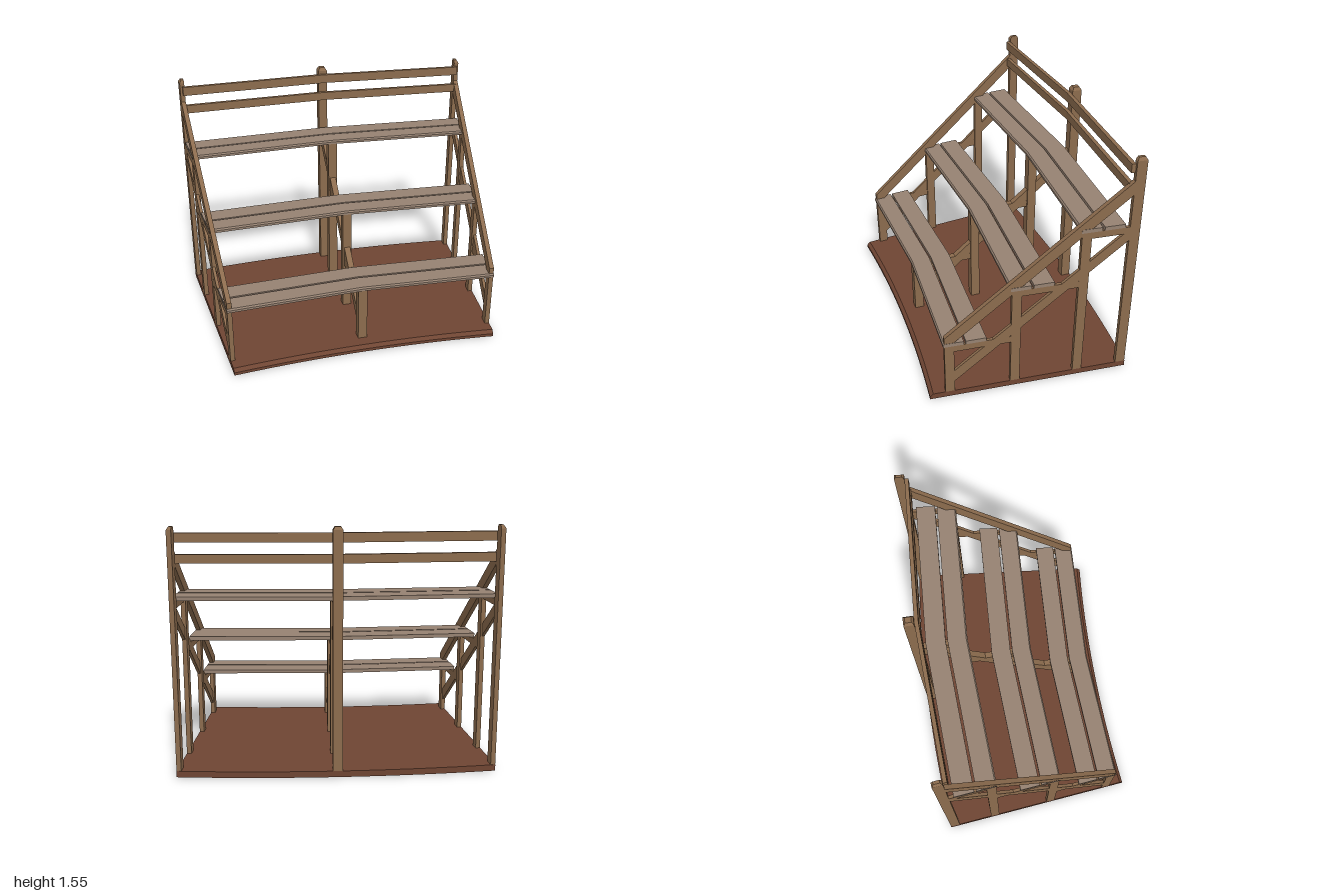
import * as THREE from 'three';

const CENTRE = 9.2;      // z of the point all frames radiate from
const HALF = 0.1014;     // half the angle of the sector

const mat = (name, color) => {
  const m = new THREE.MeshStandardMaterial({ color });
  m.name = name;
  return m;
};

// Sweeps a convex (z, y) section, counter-clockwise, around the centre through the given angles.
function sweep(section, angles) {
  const pos = [];
  const at = ([z, y], a) => [(CENTRE - z) * Math.sin(a), y, CENTRE - (CENTRE - z) * Math.cos(a)];
  const tri = (...pts) => pts.forEach(p => pos.push(...p));
  const n = section.length;
  for (let i = 0; i < angles.length - 1; i++) {
    const a = angles[i], b = angles[i + 1];
    section.forEach((p, k) => {
      const q = section[(k + 1) % n];
      tri(at(p, a), at(p, b), at(q, b));
      tri(at(p, a), at(q, b), at(q, a));
    });
  }
  const first = angles[0], last = angles[angles.length - 1];
  for (let k = 1; k < n - 1; k++) {
    tri(at(section[0], first), at(section[k], first), at(section[k + 1], first));
    tri(at(section[0], last), at(section[k + 1], last), at(section[k], last));
  }
  const g = new THREE.BufferGeometry();
  g.setAttribute('position', new THREE.Float32BufferAttribute(pos, 3));
  g.computeVertexNormals();
  return g;
}

const rect = (z0, z1, y0, y1) => [[z0, y0], [z1, y0], [z1, y1], [z0, y1]];

export function createModel() {
  const model = new THREE.Group();
  model.name = 'tieredBenches';
  const wood = mat('timber', 0x8c6c4e);
  const grey = mat('weatheredPlank', 0x968272);
  const red = mat('redFloor', 0x6f4533);

  const add = (parent, name, geometry, material) => {
    const mesh = new THREE.Mesh(geometry, material);
    mesh.name = name;
    parent.add(mesh);
    return mesh;
  };

  // Curved floor with a chamfered front edge
  const arc = Array.from({ length: 25 }, (_, i) => HALF * (i / 12 - 1));
  add(model, 'floor', sweep([[-0.67, 0], [0.615, 0], [0.615, 0.02], [0.593, 0.04], [-0.67, 0.04]], arc), red);

  // Three rows of two mitred planks
  const bend = k => [-HALF * k, 0, HALF * k];
  [[0.522, 0.405], [0.107, 0.75], [-0.308, 1.095]].forEach(([z, y]) => {
    const t = y + 0.025;
    add(model, 'frontPlank', sweep(
      [[z - 0.127, y], [z, y], [z, t - 0.01], [z - 0.008, t], [z - 0.127, t]], bend(1.002)), grey);
    add(model, 'rearPlank', sweep(rect(z - 0.267, z - 0.14, y, t), bend(1.002)), grey);
  });

  // Two back rails
  add(model, 'upperBackRail', sweep(rect(-0.605, -0.58, 1.45, 1.508), bend(0.985)), wood);
  add(model, 'lowerBackRail', sweep(rect(-0.605, -0.58, 1.325, 1.38), bend(0.985)), wood);

  // Support frames: side = -1, 0, 1; side frames are half as thick, flush with the floor edge
  for (const side of [-1, 0, 1]) {
    const pivot = new THREE.Group();
    pivot.name = side === 0 ? 'middleFrame' : side > 0 ? 'leftFrame' : 'rightFrame';
    pivot.position.z = CENTRE;
    pivot.rotation.y = -side * HALF;
    model.add(pivot);

    const shift = t => (side === 0 ? t / 2 : side > 0 ? 0 : t);
    const slab = (name, points, full) => {
      const t = side === 0 ? full : full / 2;
      const shape = new THREE.Shape(points.map(p => new THREE.Vector2(...p)));
      const g = new THREE.ExtrudeGeometry(shape, { depth: t, bevelEnabled: false });
      g.rotateY(-Math.PI / 2).translate(shift(t), 0, -CENTRE);
      add(pivot, name, g, wood);
    };

    // Posts
    slab('frontPost', rect(0.455, 0.515, 0.04, 0.405), 0.06);
    slab('secondPost', rect(0.04, 0.1, 0.04, 0.75), 0.06);
    slab('thirdPost', rect(-0.372, -0.312, 0.04, 1.095), 0.06);
    slab('backPost', rect(-0.668, -0.605, 0.04, 1.53), 0.06);

    // Chamfered top of the back post
    const t = side === 0 ? 0.06 : 0.03;
    const cap = new THREE.BoxGeometry(t, 0.02, 0.063).toNonIndexed();
    const p = cap.attributes.position;
    for (let i = 0; i < p.count; i++) {
      if (p.getY(i) < 0) continue;
      p.setX(i, (p.getX(i) + side * t / 2) * 0.6 - side * t / 2);
      p.setZ(i, p.getZ(i) * 0.6);
    }
    cap.computeVertexNormals();
    cap.translate(shift(t) - t / 2, 1.54, -0.6365 - CENTRE);
    add(pivot, 'backPostTop', cap, wood);

    // Seat bearers
    slab('lowBearer', rect(0.1, 0.515, 0.36, 0.405), 0.04);
    slab('middleBearer', rect(-0.312, 0.1, 0.705, 0.75), 0.04);
    slab('highBearer', rect(-0.605, -0.312, 1.05, 1.095), 0.04);

    // Sloping brace
    slab('brace', [[0.455, 0.12], [0.455, 0.205], [-0.605, 1.08], [-0.605, 1.0]], 0.04);

    // Sloping handrail on the two sides only
    if (side !== 0) {
      slab('handrail', [[0.515, 0.405], [0.515, 0.47], [-0.605, 1.4], [-0.605, 1.31], [0.486, 0.405]], 0.06);
    }
  }
  return model;
}
